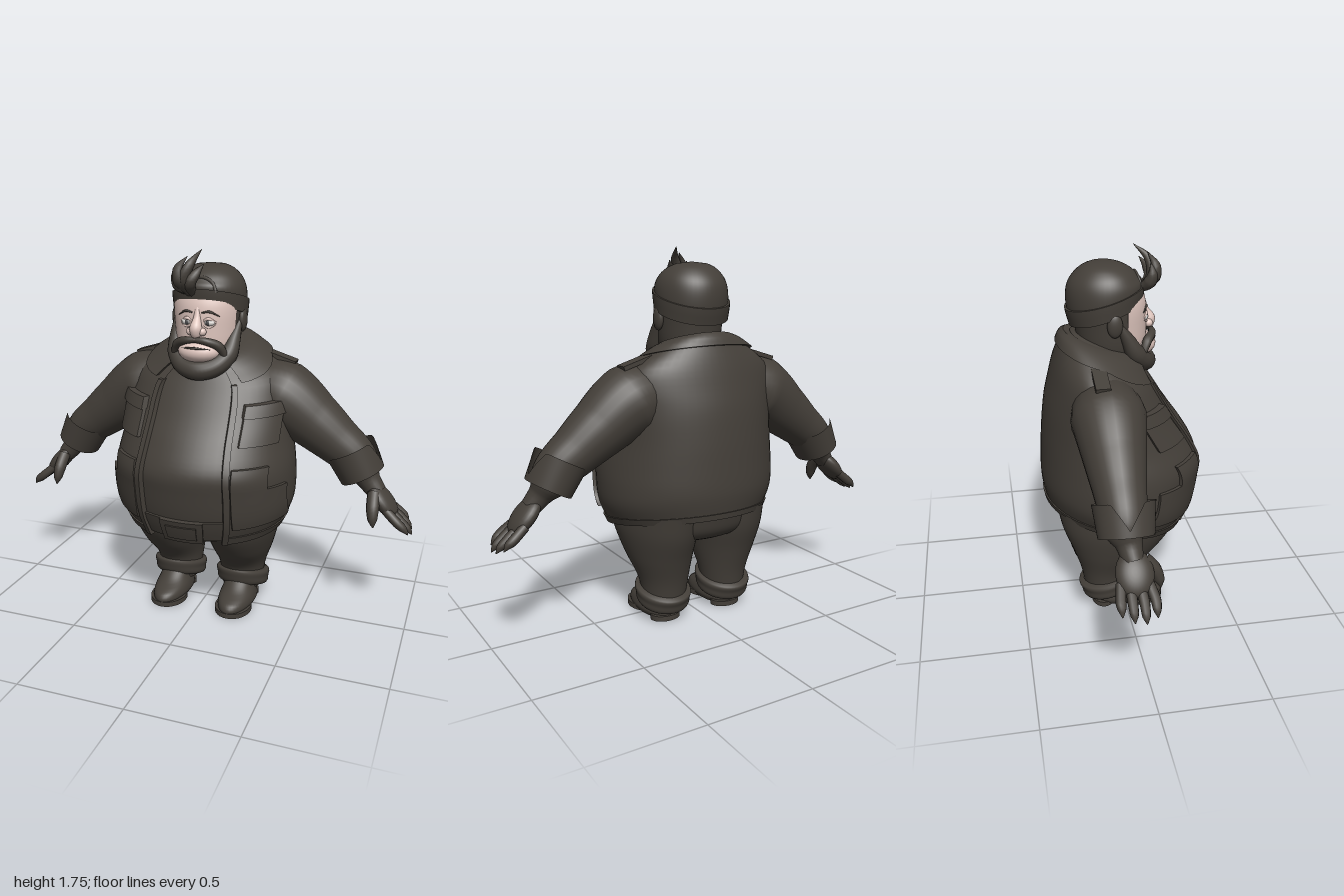
import * as THREE from 'three';
import { mergeVertices, toCreasedNormals } from 'three/addons/utils/BufferGeometryUtils.js';

const mat = (name, color, side = THREE.FrontSide) => {
  const m = new THREE.MeshStandardMaterial({ color, side });
  m.name = name;
  return m;
};
const TAU = Math.PI * 2;
const V = (x, y, z) => new THREE.Vector3(x, y, z);
const steps = (a, b, n) => Array.from({ length: n + 1 }, (_, i) => a + (b - a) * i / n);

// Smooth interpolation through rows whose first column is the height
function sample(rows, y) {
  let i = 0;
  while (i < rows.length - 2 && y > rows[i + 1][0]) i++;
  const a = rows[i], b = rows[i + 1], p = rows[Math.max(i - 1, 0)], n = rows[Math.min(i + 2, rows.length - 1)];
  const h = b[0] - a[0], t = (y - a[0]) / h, t2 = t * t, t3 = t2 * t;
  return a.map((_, c) => {
    const m0 = (b[c] - p[c]) / (b[0] - p[0]) * h, m1 = (n[c] - a[c]) / (n[0] - a[0]) * h;
    return (2 * t3 - 3 * t2 + 1) * a[c] + (t3 - 2 * t2 + t) * m0 + (3 * t2 - 2 * t3) * b[c] + (t3 - t2) * m1;
  });
}

// Rows: height, half width, front z, back z, centre z, tilt, centre x
const surface = rows => (a, y, off = 0) => {
  const [, rx, zf, zb, cz, tilt = 0, cx = 0] = sample(rows, y);
  const c = Math.cos(a), dz = c * ((c > 0 ? zf - cz : cz - zb) + off);
  return V(cx + Math.sin(a) * (rx + off), y + tilt * dz, cz + dz);
};

function grid(f, us, vs) {
  const pos = [], idx = [], w = us.length;
  vs.forEach((v, j) => us.forEach((u, i) => pos.push(...f(u, v, i, j).toArray())));
  for (let j = 0; j < vs.length - 1; j++) for (let i = 0; i < w - 1; i++) {
    const a = j * w + i;
    idx.push(a, a + 1, a + w, a + 1, a + w + 1, a + w);
  }
  let g = new THREE.BufferGeometry();
  g.setAttribute('position', new THREE.Float32BufferAttribute(pos, 3));
  g.setIndex(idx);
  g = mergeVertices(g, 1e-4);
  g.computeVertexNormals();
  return g;
}
const loft = (f, y0, y1, n = 24, off = 0) => grid((u, v) => f(u, v, off), steps(0, TAU, 48), steps(y0, y1, n));

// Raised plate that follows a surface, with its rim dropped back onto it
function plate(f, u0, u1, v0, v1, off, nu = 10, nv = 8) {
  const us = [u0, ...steps(u0, u1, nu), u1], vs = [v0, ...steps(v0, v1, nv), v1];
  return toCreasedNormals(grid((u, v, i, j) =>
    f(u, v, i === 0 || j === 0 || i === us.length - 1 || j === vs.length - 1 ? 0 : off), us, vs), 0.7);
}

// Tube with a changing radius
function taper(points, radii, seg = 24, sides = 16) {
  const curve = new THREE.CatmullRomCurve3(points.map(p => V(...p)));
  let g = new THREE.TubeGeometry(curve, seg, 1, sides, false);
  const p = g.attributes.position, q = V();
  for (let i = 0; i < p.count; i++) {
    const t = Math.floor(i / (sides + 1)) / seg, c = curve.getPointAt(t);
    const s = curve.getUtoTmapping(t) * (radii.length - 1), k = Math.min(Math.floor(s), radii.length - 2);
    const r = THREE.MathUtils.lerp(radii[k], radii[k + 1], s - k);
    q.fromBufferAttribute(p, i).sub(c).multiplyScalar(r).add(c);
    p.setXYZ(i, q.x, q.y, q.z);
  }
  g.deleteAttribute('uv');
  g.deleteAttribute('normal');
  g = mergeVertices(g, 1e-5);
  g.computeVertexNormals();
  return g;
}

export function createModel() {
  const root = new THREE.Group();
  const cloth = mat('dark cloth', 0x443f39), shell = mat('dark cloth shell', 0x443f39, THREE.DoubleSide);
  const skin = mat('skin', 0xdfc6be, THREE.DoubleSide), white = mat('eye white', 0xe6e2de), iris = mat('iris', 0x4a4a4c);
  const add = (parent, name, geo, m = cloth) => {
    const mesh = new THREE.Mesh(geo, m);
    mesh.name = name;
    parent.add(mesh);
    return mesh;
  };
  const ball = (parent, name, at, size, m = cloth) => {
    const s = add(parent, name, new THREE.SphereGeometry(1, 24, 16), m);
    s.position.set(...at);
    s.scale.set(...size);
    return s;
  };

  // Torso: shirt below, jacket as an open shell over it
  const torsoRows = [
    [0.48, 0.375, 0.295, -0.345, 0, -0.16], [0.58, 0.42, 0.34, -0.36, 0, -0.1], [0.68, 0.43, 0.365, -0.365, 0, 0],
    [0.78, 0.425, 0.372, -0.362, 0, 0], [0.9, 0.405, 0.31, -0.355, -0.03, 0], [1.02, 0.395, 0.235, -0.34, -0.06, -0.05],
    [1.12, 0.385, 0.18, -0.315, -0.09, -0.1], [1.2, 0.355, 0.14, -0.29, -0.1, -0.18], [1.27, 0.26, 0.105, -0.26, -0.1, -0.27],
    [1.32, 0.165, 0.08, -0.23, -0.09, -0.32], [1.34, 0.09, 0.03, -0.17, -0.08, -0.32]];
  const torso = surface(torsoRows);
  const onFront = (x, y, off) => torso(Math.asin(Math.min(0.98, x / sample(torsoRows, y)[1])), y, off);
  add(root, 'shirt', loft(torso, 0.49, 1.34, 36));
  const open = 0.46;
  add(root, 'jacket', grid((u, v) => torso(u, v, 0.012), steps(open, TAU - open, 48), steps(0.48, 1.32, 36)), shell);
  add(root, 'jacketHem', plate(torso, open, TAU - open, 0.48, 0.515, 0.02, 48, 2), shell);
  add(root, 'collar', plate((u, v, off) => {
    const low = 1.27 - 0.07 * Math.max(0, Math.cos(u));
    return torso(u, low + (1.325 - low) * v, off);
  }, 0.6, TAU - 0.6, 0, 1, 0.03, 40, 4), shell);
  add(root, 'belt', plate(torso, -0.48, 0.48, 0.5, 0.59, 0.012, 16, 3));
  add(root, 'buckle', plate(torso, -0.24, 0.24, 0.49, 0.59, 0.025, 6, 3));
  add(root, 'buckleInset', plate(torso, -0.17, 0.17, 0.51, 0.57, 0.032, 6, 3));

  // Trousers seat
  const hips = surface([[0.37, 0.02, 0, -0.06, -0.03], [0.39, 0.18, 0.12, -0.18, -0.03],
    [0.43, 0.32, 0.23, -0.28, -0.02], [0.52, 0.365, 0.285, -0.325, 0], [0.6, 0.37, 0.29, -0.33, 0]]);
  add(root, 'trouserSeat', loft(hips, 0.37, 0.58, 16));

  const legF = surface([[0.08, 0.1, 0.03, -0.19, -0.08, 0, 0.168], [0.2, 0.117, 0.05, -0.212, -0.08, 0, 0.168],
    [0.32, 0.15, 0.16, -0.25, -0.05, 0, 0.177], [0.44, 0.176, 0.245, -0.295, -0.02, 0, 0.181],
    [0.55, 0.18, 0.28, -0.32, 0, 0, 0.184]]);
  const cuffF = surface([[0.075, 0.09, 0.02, -0.18, -0.08, 0.25, 0.17], [0.083, 0.122, 0.04, -0.2, -0.08, 0.25, 0.17],
    [0.12, 0.13, 0.053, -0.212, -0.08, 0.25, 0.17], [0.155, 0.13, 0.056, -0.222, -0.08, 0.25, 0.17],
    [0.163, 0.1, 0.04, -0.2, -0.08, 0.25, 0.17]]);
  const shoeF = surface([[0.008, 0.078, 0.185, -0.14, 0, 0, 0.172], [0.03, 0.09, 0.193, -0.15, 0, 0, 0.172],
    [0.06, 0.086, 0.175, -0.145, 0, 0, 0.172], [0.09, 0.078, 0.1, -0.14, -0.02, 0, 0.172], [0.14, 0.072, 0.03, -0.14, -0.05, 0, 0.17]]);

  for (const s of [1, -1]) {
    const side = new THREE.Group();
    side.name = s > 0 ? 'leftSide' : 'rightSide';
    side.scale.x = s;
    root.add(side);

    // Jacket trim
    add(side, 'jacketEdge', plate(torso, open, open + 0.07, 0.48, 1.2, 0.026, 2, 24), shell);
    add(side, 'chestPocket', plate(onFront, 0.23, 0.365, 0.91, 1.07, 0.03));
    add(side, 'chestPocketFlap', plate(onFront, 0.225, 0.37, 1.04, 1.1, 0.042));
    add(side, 'sidePocket', plate(onFront, 0.22, 0.41, 0.56, 0.72, 0.028));
    add(side, 'sidePocketTop', plate(onFront, 0.22, 0.35, 0.72, 0.82, 0.028));
    const tab = add(side, 'epaulette', new THREE.BoxGeometry(0.19, 0.02, 0.065));
    tab.position.set(0.31, 1.255, -0.13);
    tab.rotation.z = -0.3;

    // Sleeve running into the wrist
    add(side, 'sleeve', taper([[0.2, 1.1, -0.1], [0.35, 1.07, -0.1], [0.5, 0.965, -0.1], [0.61, 0.88, -0.1], [0.7, 0.81, -0.1],
      [0.745, 0.75, -0.1], [0.775, 0.705, -0.09], [0.82, 0.65, -0.08]], [0.14, 0.168, 0.138, 0.116, 0.1, 0.088, 0.055, 0.045], 40, 24));
    // Turned-back cuff with a notch at the outer side
    add(side, 'sleeveCuff', grid((u, v) => {
      const t = Math.max(v, 0.8 * (1 - Math.abs(u) / 0.55)), r = 0.122 - 0.014 * t;
      const c = Math.cos(u) * r;
      return V(0.68 + 0.065 * t + 0.88 * c, 0.85 - 0.125 * t + 0.46 * c, -0.095 + Math.sin(u) * r * 1.1);
    }, steps(-Math.PI, Math.PI, 48), steps(0, 1, 10)), shell);

    // Hand
    const palm = ball(side, 'palm', [0.85, 0.615, -0.08], [0.1, 0.042, 0.08]);
    palm.rotation.z = -0.85;
    for (let i = 0; i < 4; i++) {
      const z = -0.15 + i * 0.047, d = [0.025, 0.006, 0, 0.015][i];
      add(side, 'finger', taper([[0.87, 0.585, z * 0.8 - 0.02], [0.93, 0.535, z], [0.975 - d, 0.495 + d, z], [0.995 - d, 0.47 + d, z]],
        [0.022, 0.022, 0.018, 0.002], 12, 10));
    }
    add(side, 'thumb', taper([[0.81, 0.66, -0.04], [0.815, 0.6, 0.01], [0.82, 0.55, 0.03], [0.825, 0.515, 0.035]],
      [0.03, 0.03, 0.022, 0.002], 12, 10));

    // Leg
    add(side, 'trouserLeg', loft(legF, 0.08, 0.55));
    add(side, 'trouserCuff', loft(cuffF, 0.075, 0.163, 12));
    add(side, 'shoe', loft(shoeF, 0.008, 0.14, 14));
    for (const [name, z, rz, rx] of [['sole', 0.085, 0.11, 0.09], ['heel', -0.105, 0.055, 0.075]]) {
      const sole = add(side, name, new THREE.CylinderGeometry(1, 1, 0.025, 28));
      sole.position.set(0.172, 0.0125, z);
      sole.scale.set(rx, 1, rz);
    }

    // Face details
    ball(side, 'ear', [0.163, 1.43, -0.04], [0.02, 0.055, 0.035]);
    ball(side, 'eye', [0.052, 1.435, 0.112], [0.027, 0.017, 0.018], white);
    ball(side, 'iris', [0.05, 1.434, 0.126], [0.01, 0.012, 0.006], iris);
    add(side, 'upperLid', taper([[0.022, 1.437, 0.122], [0.05, 1.452, 0.124], [0.083, 1.435, 0.106]], [0.004, 0.008, 0.004], 12, 8), skin);
    add(side, 'lowerLid', taper([[0.024, 1.428, 0.124], [0.052, 1.414, 0.122], [0.083, 1.428, 0.106]], [0.003, 0.006, 0.003], 12, 8), skin);
    add(side, 'eyebrow', taper([[0.02, 1.478, 0.128], [0.055, 1.484, 0.122], [0.098, 1.462, 0.1]], [0.003, 0.006, 0.002], 12, 8));
    ball(side, 'nostril', [0.027, 1.395, 0.138], [0.02, 0.019, 0.02], skin);
    add(side, 'moustache', taper([[0, 1.36, 0.155], [0.05, 1.355, 0.15], [0.1, 1.33, 0.118], [0.125, 1.28, 0.095]],
      [0.013, 0.018, 0.022, 0.015], 16, 12));
  }

  // Head
  const headF = surface([[1.17, 0.08, 0.06, -0.12, -0.04], [1.28, 0.135, 0.115, -0.175, -0.04], [1.4, 0.153, 0.125, -0.2, -0.04],
    [1.52, 0.157, 0.118, -0.215, -0.04], [1.6, 0.13, 0.08, -0.19, -0.04]]);
  add(root, 'hair', loft(headF, 1.17, 1.6));
  add(root, 'face', plate(headF, -1.2, 1.2, 1.3, 1.55, 0.005, 24, 10), skin);
  add(root, 'nose', taper([[0, 1.5, 0.115], [0, 1.45, 0.128], [0, 1.41, 0.145], [0, 1.38, 0.14], [0, 1.37, 0.13]],
    [0.012, 0.018, 0.03, 0.024, 0.002], 20, 16), skin);
  ball(root, 'lips', [0, 1.3, 0.1], [0.1, 0.055, 0.076], skin);
  add(root, 'mouthLine', taper([[-0.07, 1.318, 0.148], [0, 1.325, 0.172], [0.07, 1.318, 0.148]], [0.002, 0.006, 0.002], 16, 8));
  const beardHalf = [[0.155, 1.43, -0.02], [0.142, 1.36, 0.02], [0.125, 1.285, 0.06], [0.075, 1.232, 0.108]];
  add(root, 'beard', taper([...beardHalf, [0, 1.215, 0.132], ...beardHalf.map(([x, y, z]) => [-x, y, z]).reverse()],
    [0.012, 0.03, 0.045, 0.046, 0.046, 0.046, 0.045, 0.03, 0.012], 48, 16));

  // Tilted cap with a band and a small front arch
  const capF = surface([[1.455, 0.165, 0.105, -0.215, -0.06, 0.33], [1.54, 0.17, 0.112, -0.235, -0.06, 0.28],
    [1.6, 0.158, 0.09, -0.23, -0.06, 0.12], [1.645, 0.125, 0.055, -0.19, -0.06, 0.04],
    [1.675, 0.07, 0, -0.13, -0.065, 0], [1.683, 0, -0.065, -0.065, -0.065, 0]]);
  add(root, 'cap', loft(capF, 1.455, 1.683, 28), shell);
  add(root, 'capBand', plate(capF, 0, TAU, 1.455, 1.53, 0.009, 48, 4), shell);
  add(root, 'capArch', taper([[-0.08, 1.565, 0.098], [-0.055, 1.61, 0.085], [0, 1.63, 0.078], [0.055, 1.61, 0.085], [0.08, 1.565, 0.098]],
    [0.008, 0.008, 0.008], 24, 8));

  // Forelock
  const locks = [
    [[-0.04, 1.56, 0.1], [-0.06, 1.62, 0.145], [-0.03, 1.69, 0.135], [0.003, 1.752, 0.07]],
    [[-0.05, 1.57, 0.1], [-0.075, 1.62, 0.15], [-0.08, 1.67, 0.155], [-0.045, 1.725, 0.125]],
    [[-0.03, 1.56, 0.1], [-0.03, 1.61, 0.14], [-0.005, 1.65, 0.13], [0.022, 1.69, 0.1]],
    [[-0.06, 1.57, 0.1], [-0.085, 1.6, 0.13], [-0.095, 1.64, 0.14], [-0.09, 1.685, 0.13]]];
  locks.forEach(p => add(root, 'forelock', taper(p, [0.02, 0.03, 0.022, 0.001], 16, 8)));
  return root;
}
